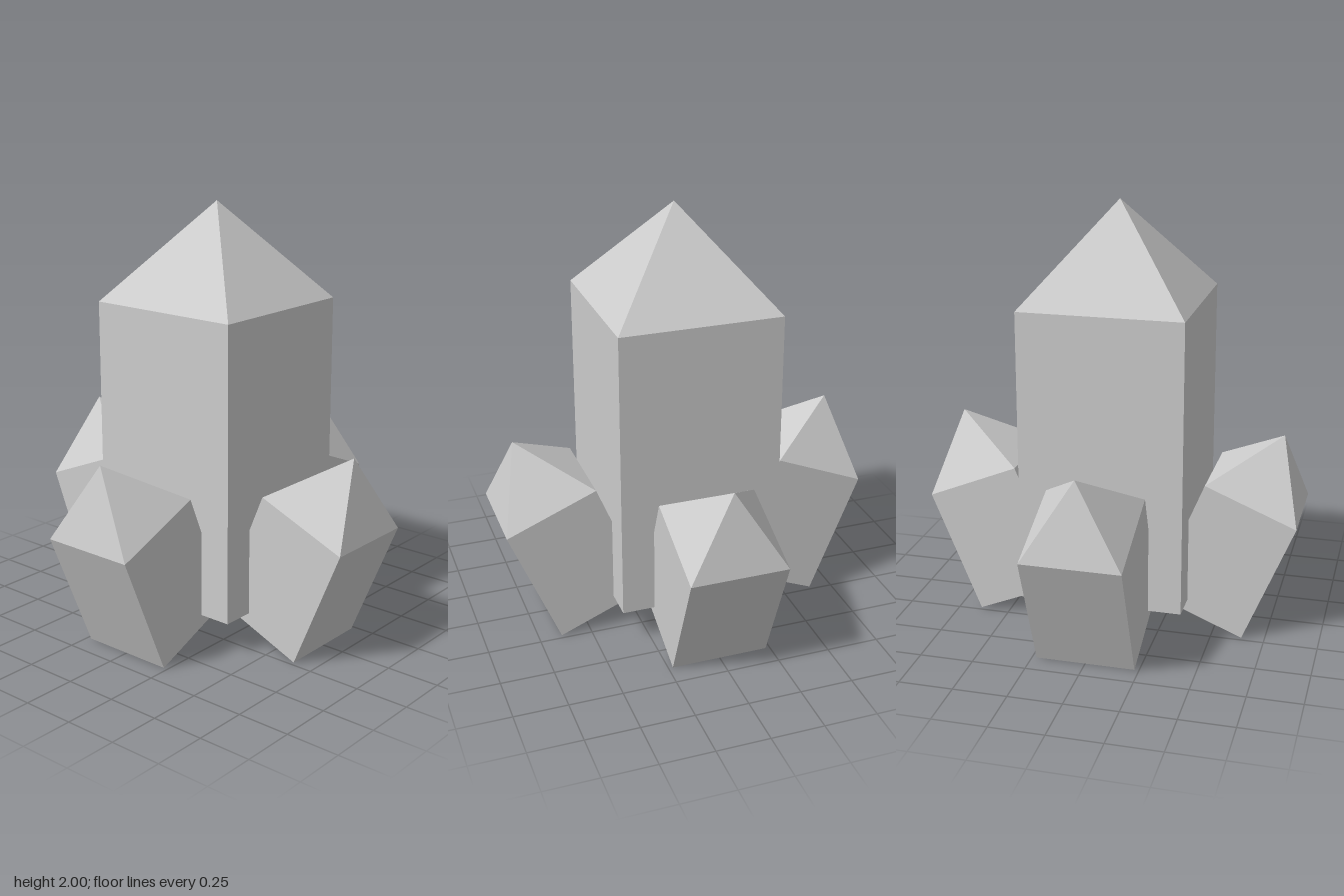
import * as THREE from 'three';

// Square prism with a pyramid tip, standing on its own base centre
function crystalGeometry(half, height, tip) {
  const r = half * Math.SQRT2;
  const profile = [[0, 0], [r, 0], [r, height], [0, height + tip]]
    .map(([x, y]) => new THREE.Vector2(x, y));
  const geometry = new THREE.LatheGeometry(profile, 4, Math.PI / 4).toNonIndexed();
  geometry.computeVertexNormals(); // faceted sides
  return geometry;
}

export function createModel() {
  const group = new THREE.Group();
  group.name = 'crystalCluster';
  const stone = new THREE.MeshStandardMaterial({ color: 0xcccccc });
  stone.name = 'pale grey crystal';

  // Tall upright crystal
  const main = new THREE.Mesh(crystalGeometry(0.383, 1.38, 0.455), stone);
  main.name = 'mainCrystal';
  main.position.y = 0.165;
  group.add(main);

  // Four small crystals leaning outwards
  const sideGeometry = crystalGeometry(0.229, 0.618, 0.304);
  ['left', 'back', 'right', 'front'].forEach((side, i) => {
    const pivot = new THREE.Group();
    pivot.name = side + 'Crystal';
    pivot.rotation.y = i * Math.PI / 2;
    const crystal = new THREE.Mesh(sideGeometry, stone);
    crystal.name = side + 'CrystalBody';
    crystal.position.set(0.431, 0.0875, 0);
    crystal.rotation.z = -THREE.MathUtils.degToRad(22.4);
    pivot.add(crystal);
    group.add(pivot);
  });
  return group;
}
